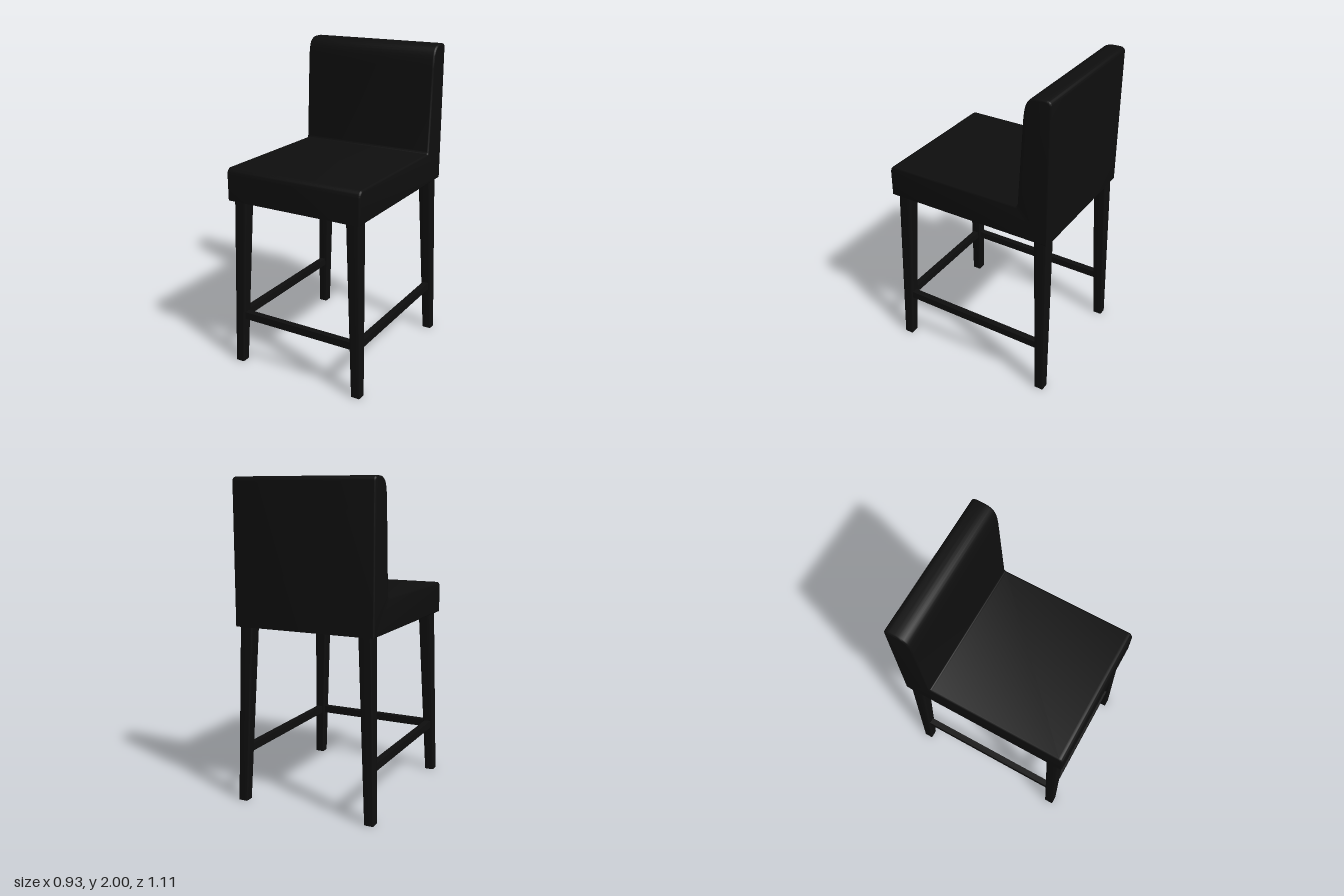
import * as THREE from 'three';
import { toCreasedNormals } from 'three/addons/utils/BufferGeometryUtils.js';

const LEG_TOP = 1.13;

export function createModel() {
  const model = new THREE.Group();
  model.name = 'barChair';
  const black = new THREE.MeshStandardMaterial({ color: 0x0e0e0e });
  black.name = 'black';

  const add = (name, geometry) => {
    const mesh = new THREE.Mesh(geometry, black);
    mesh.name = name;
    model.add(mesh);
    return mesh;
  };

  // Upholstered seat and backrest: one side profile swept across the width
  const p = new THREE.Shape();
  p.moveTo(-0.545, 1.11);
  p.lineTo(0.555, 1.11);
  p.lineTo(0.555, 1.275);
  p.quadraticCurveTo(0.55, 1.315, 0.52, 1.315);
  p.lineTo(-0.335, 1.315);
  p.quadraticCurveTo(-0.348, 1.315, -0.35, 1.33);
  p.lineTo(-0.378, 1.86);
  p.bezierCurveTo(-0.385, 1.96, -0.40, 2.0, -0.48, 2.0);
  p.lineTo(-0.51, 2.0);
  p.quadraticCurveTo(-0.545, 2.0, -0.545, 1.97);
  p.closePath();
  const width = 0.92, bevel = 0.012;
  const body = new THREE.ExtrudeGeometry(p, {
    depth: width - 2 * bevel, bevelEnabled: true, bevelThickness: bevel,
    bevelSize: bevel, bevelOffset: -bevel, bevelSegments: 3, curveSegments: 10,
  });
  body.translate(0, 0, -width / 2 + bevel);
  body.rotateY(-Math.PI / 2);
  add('seatAndBackrest', toCreasedNormals(body, 0.6));

  // Square leg section with softened corners, one unit wide
  const section = new THREE.Shape();
  const h = 0.5, r = 0.14;
  section.moveTo(-h + r, -h);
  section.lineTo(h - r, -h);
  section.quadraticCurveTo(h, -h, h, -h + r);
  section.lineTo(h, h - r);
  section.quadraticCurveTo(h, h, h - r, h);
  section.lineTo(-h + r, h);
  section.quadraticCurveTo(-h, h, -h, h - r);
  section.lineTo(-h, -h + r);
  section.quadraticCurveTo(-h, -h, -h + r, -h);

  // Tapered legs, splayed outwards towards the floor
  const makeLeg = (name, side, zFoot, zTop) => {
    const g = new THREE.ExtrudeGeometry(section, { depth: 1, bevelEnabled: false, curveSegments: 3 });
    const pos = g.attributes.position;
    for (let i = 0; i < pos.count; i++) {
      const t = pos.getZ(i);
      const w = THREE.MathUtils.lerp(0.06, 0.085, t);
      const x = side * THREE.MathUtils.lerp(0.433, 0.392, t) + pos.getX(i) * w;
      const z = THREE.MathUtils.lerp(zFoot, zTop, t) - pos.getY(i) * w;
      pos.setXYZ(i, x, t * LEG_TOP, z);
    }
    add(name, toCreasedNormals(g, 0.7));
  };
  for (const [label, side] of [['Left', 1], ['Right', -1]]) {
    makeLeg('front' + label + 'Leg', side, 0.515, 0.48);
    makeLeg('back' + label + 'Leg', side, -0.522, -0.488);
    // Side stretcher
    add('side' + label + 'Stretcher', new THREE.BoxGeometry(0.04, 0.048, 1.0))
      .position.set(side * 0.421, 0.33, -0.004);
  }

  // Front footrest
  add('frontStretcher', new THREE.BoxGeometry(0.82, 0.048, 0.04)).position.set(0, 0.33, 0.504);

  return model;
}
